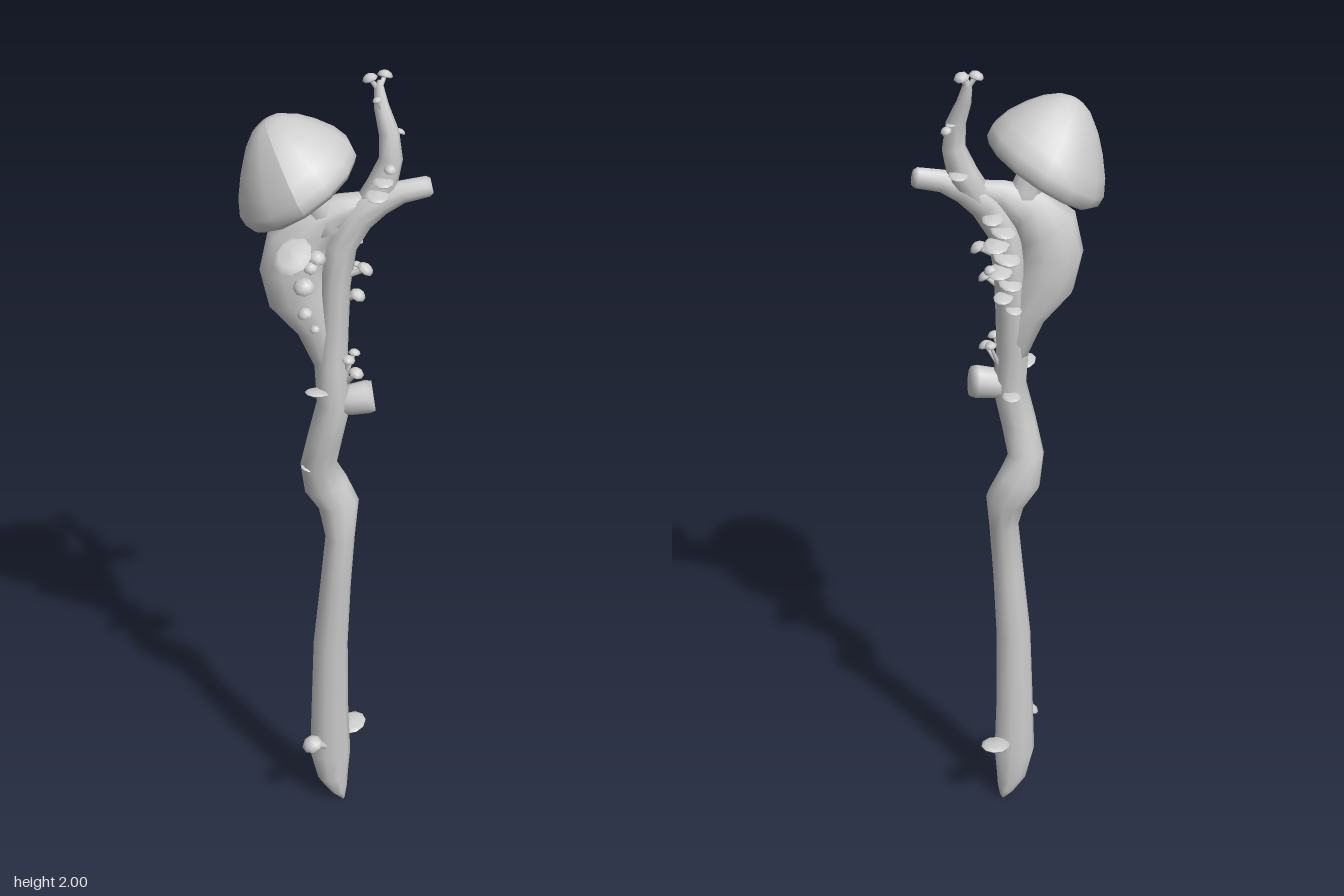
import * as THREE from 'three';

const grey = new THREE.MeshStandardMaterial({ color: 0xcccccc });
const V = (a) => new THREE.Vector3(a[0], a[1], a[2]);
const UP = new THREE.Vector3(0, 1, 0);

// Closed limb through rings [x, y, z, radius across, radius in depth]
function limb(name, rings, sides = 10) {
  const pos = [], idx = [];
  const last = rings.length - 1;
  rings.forEach((r, i) => {
    const c = V(r);
    const t = V(rings[Math.min(i + 1, last)]).sub(V(rings[Math.max(i - 1, 0)])).normalize();
    const n = new THREE.Vector3(0, 0, 1).addScaledVector(t, -t.z).normalize();
    const b = new THREE.Vector3().crossVectors(t, n);
    for (let j = 0; j < sides; j++) {
      const a = (j / sides) * Math.PI * 2;
      const p = c.clone().addScaledVector(b, r[3] * Math.cos(a)).addScaledVector(n, (r[4] ?? r[3]) * Math.sin(a));
      pos.push(p.x, p.y, p.z);
    }
  });
  for (let i = 0; i < last; i++) {
    for (let j = 0; j < sides; j++) {
      const a = i * sides + j, b = i * sides + ((j + 1) % sides);
      idx.push(a, a + sides, b, b, a + sides, b + sides);
    }
  }
  const s = pos.length / 3, e = s + 1;
  pos.push(...rings[0].slice(0, 3), ...rings[last].slice(0, 3));
  for (let j = 0; j < sides; j++) {
    const k = (j + 1) % sides;
    idx.push(s, j, k, e, last * sides + k, last * sides + j);
  }
  const g = new THREE.BufferGeometry();
  g.setAttribute('position', new THREE.Float32BufferAttribute(pos, 3));
  g.setIndex(idx);
  g.computeVertexNormals();
  const m = new THREE.Mesh(g, grey);
  m.name = name;
  return m;
}

function lathe(name, pts, sides) {
  const m = new THREE.Mesh(new THREE.LatheGeometry(pts.map((p) => new THREE.Vector2(p[0], p[1])), sides), grey);
  m.name = name;
  return m;
}

// Small mushroom with its stem running from root to top
function mushroom(root, top, r) {
  const g = new THREE.Group();
  g.name = 'smallMushroom';
  const a = V(root), b = V(top), d = b.clone().sub(a);
  const stem = new THREE.Mesh(new THREE.CylinderGeometry(r * 0.28, r * 0.4, d.length(), 6), grey);
  stem.name = 'smallStem';
  stem.position.copy(a).add(b).multiplyScalar(0.5);
  stem.quaternion.setFromUnitVectors(UP, d.clone().normalize());
  const cap = lathe('smallCap', [[0, -0.05], [0.85, -0.2], [1, 0], [0.75, 0.4], [0.35, 0.62], [0, 0.68]], 8);
  cap.scale.setScalar(r);
  cap.position.copy(b);
  cap.quaternion.setFromUnitVectors(UP, d.normalize().add(UP).normalize());
  g.add(stem, cap);
  return g;
}

// Flat bracket fungus; the yaw angle is the way it leans outward
function shelf(x, y, z, r, yaw, tilt = 0.25) {
  const m = lathe('shelfFungus', [[0, -0.32], [0.5, -0.2], [0.95, -0.02], [1, 0.06], [0.7, 0.2], [0, 0.26]], 10);
  m.scale.set(r, r, r * 0.85);
  m.position.set(x, y, z);
  m.rotation.set(0, yaw, -tilt, 'YXZ');
  return m;
}

export function createModel() {
  const model = new THREE.Group();
  model.name = 'mushroomStaff';

  // Crooked shaft, running into the side branch
  model.add(limb('shaft', [
    [0.02, 0.006, -0.01, 0.006, 0.02], [0.01, 0.03, -0.01, 0.022, 0.031],
    [-0.006, 0.075, -0.01, 0.04, 0.037], [-0.013, 0.15, -0.012, 0.052, 0.04],
    [-0.014, 0.3, -0.007, 0.047, 0.039], [-0.012, 0.5, -0.002, 0.043, 0.038],
    [0, 0.68, 0.005, 0.038, 0.038], [0.011, 0.82, 0.007, 0.036, 0.038],
    [0.009, 0.9, -0.012, 0.05, 0.045], [-0.022, 0.955, -0.018, 0.055, 0.046],
    [-0.04, 1.02, -0.01, 0.044, 0.043], [-0.026, 1.1, 0.01, 0.042, 0.04],
    [-0.004, 1.2, 0.015, 0.041, 0.044], [-0.011, 1.3, 0.008, 0.039, 0.042],
    [-0.006, 1.4, 0.004, 0.037, 0.046], [-0.002, 1.5, 0.002, 0.037, 0.05],
    [0.01, 1.6, 0.002, 0.04, 0.047], [0.048, 1.672, 0.002, 0.044, 0.042],
    [0.1, 1.71, 0.005, 0.036, 0.036], [0.15, 1.73, 0.008, 0.027, 0.025],
    [0.208, 1.742, 0.008, 0.025, 0.023], [0.217, 1.744, 0.008, 0.018, 0.017]]));

  // Swollen burl on one side of the head
  model.add(limb('burl', [
    [-0.012, 1.28, 0.005, 0.03, 0.035], [-0.04, 1.39, 0, 0.05, 0.045],
    [-0.085, 1.47, -0.004, 0.072, 0.058], [-0.098, 1.54, -0.004, 0.076, 0.06],
    [-0.085, 1.605, -0.004, 0.076, 0.056], [-0.04, 1.655, -0.002, 0.058, 0.046],
    [0.02, 1.69, 0, 0.036, 0.036], [0.08, 1.705, 0, 0.025, 0.025]]));

  // Upright branch with a forked tip
  model.add(limb('upperBranch', [
    [0.06, 1.67, 0, 0.035], [0.105, 1.745, 0, 0.036], [0.124, 1.81, 0.004, 0.027],
    [0.119, 1.87, 0, 0.023], [0.103, 1.925, -0.018, 0.017], [0.098, 1.965, -0.03, 0.011],
    [0.1, 1.98, -0.033, 0.005]], 8));

  // Sawn-off stub
  model.add(limb('stub', [
    [-0.01, 1.195, 0.015, 0.03], [0.035, 1.205, 0.016, 0.037], [0.075, 1.212, 0.016, 0.04],
    [0.089, 1.214, 0.016, 0.036]]));

  // Large tilted mushroom
  model.add(limb('largeStem', [
    [-0.02, 1.64, 0, 0.045], [-0.04, 1.7, 0, 0.036], [-0.055, 1.74, 0, 0.034], [-0.085, 1.785, 0, 0.036]]));
  const cap = lathe('largeCap', [[0, 0.03], [0.06, 0.015], [0.115, -0.014], [0.136, -0.022], [0.15, -0.008],
    [0.151, 0.018], [0.135, 0.055], [0.105, 0.098], [0.075, 0.132], [0.042, 0.158], [0.018, 0.167], [0, 0.169]], 13);
  const p = cap.geometry.attributes.position;
  for (let i = 0; i < p.count; i++) p.setX(i, p.getX(i) + 0.14 * Math.max(0, p.getY(i)));
  cap.geometry.computeVertexNormals();
  cap.position.set(-0.083, 1.75, 0.003);
  cap.rotation.z = 0.585;
  model.add(cap);

  // Small mushrooms: [root, top, cap radius]
  [
    [[-0.03, 0.19, 0.02], [-0.062, 0.22, 0.052], 0.027],
    [[-0.07, 1.57, 0.04], [-0.045, 1.6, 0.07], 0.022],
    [[-0.07, 1.51, 0.04], [-0.075, 1.53, 0.075], 0.026],
    [[-0.06, 1.55, 0.04], [-0.06, 1.575, 0.07], 0.018],
    [[-0.06, 1.44, 0.035], [-0.073, 1.455, 0.06], 0.018],
    [[-0.045, 1.4, 0.03], [-0.05, 1.412, 0.055], 0.012],
    [[0.02, 1.53, 0.02], [0.066, 1.55, 0.03], 0.021],
    [[0.02, 1.46, 0], [0.05, 1.48, 0.02], 0.02],
    [[0.02, 1.5, -0.02], [0.052, 1.525, -0.045], 0.015],
    [[0.02, 1.25, 0.02], [0.046, 1.29, 0.045], 0.019],
    [[0.01, 1.25, 0.01], [0.028, 1.32, 0.035], 0.017],
    [[0.02, 1.25, 0], [0.045, 1.315, -0.01], 0.015],
    [[0.1, 1.955, -0.028], [0.078, 1.985, -0.03], 0.018],
    [[0.1, 1.965, -0.03], [0.112, 1.988, -0.042], 0.018],
    [[0.11, 1.9, -0.01], [0.092, 1.945, 0.0], 0.011],
    [[0.12, 1.84, 0], [0.145, 1.86, -0.024], 0.013],
    [[0.12, 1.77, 0.01], [0.12, 1.795, 0.036], 0.015],
  ].forEach((m) => model.add(mushroom(...m)));

  // Bracket fungi: [x, y, z, radius, yaw, tilt]
  const F = -Math.PI / 2, B = Math.PI / 2;
  [
    [0.045, 0.2, -0.06, 0.042, 1.0, -0.15],
    [-0.1, 1.607, 0.075, 0.052, F - 0.4, 0.6],
    [-0.045, 1.24, 0.045, 0.033, F - 0.6, -0.2],
    [0.0, 1.19, -0.035, 0.026, B, 0.1],
    [-0.065, 1.015, 0.01, 0.02, Math.PI, -0.3],
    [0.09, 1.735, 0.042, 0.032, F, 0.15],
    [0.105, 1.765, 0.033, 0.028, F, 0.15],
    [0.12, 1.755, -0.03, 0.026, B, 0.15],
    [0.128, 1.87, -0.01, 0.016, 0.5, 0.1],
  ].forEach((s) => model.add(shelf(...s)));

  // Ladder of brackets up the back
  for (let i = 0; i < 8; i++) {
    model.add(shelf(0.005 + 0.004 * i + (i % 2 ? 0.012 : -0.008), 1.42 + 0.033 * i, -0.045,
      0.022 + 0.014 * Math.sin((i / 7) * 2.6), B + (i % 2 ? -0.3 : 0.3), 0.2));
  }
  return model;
}
